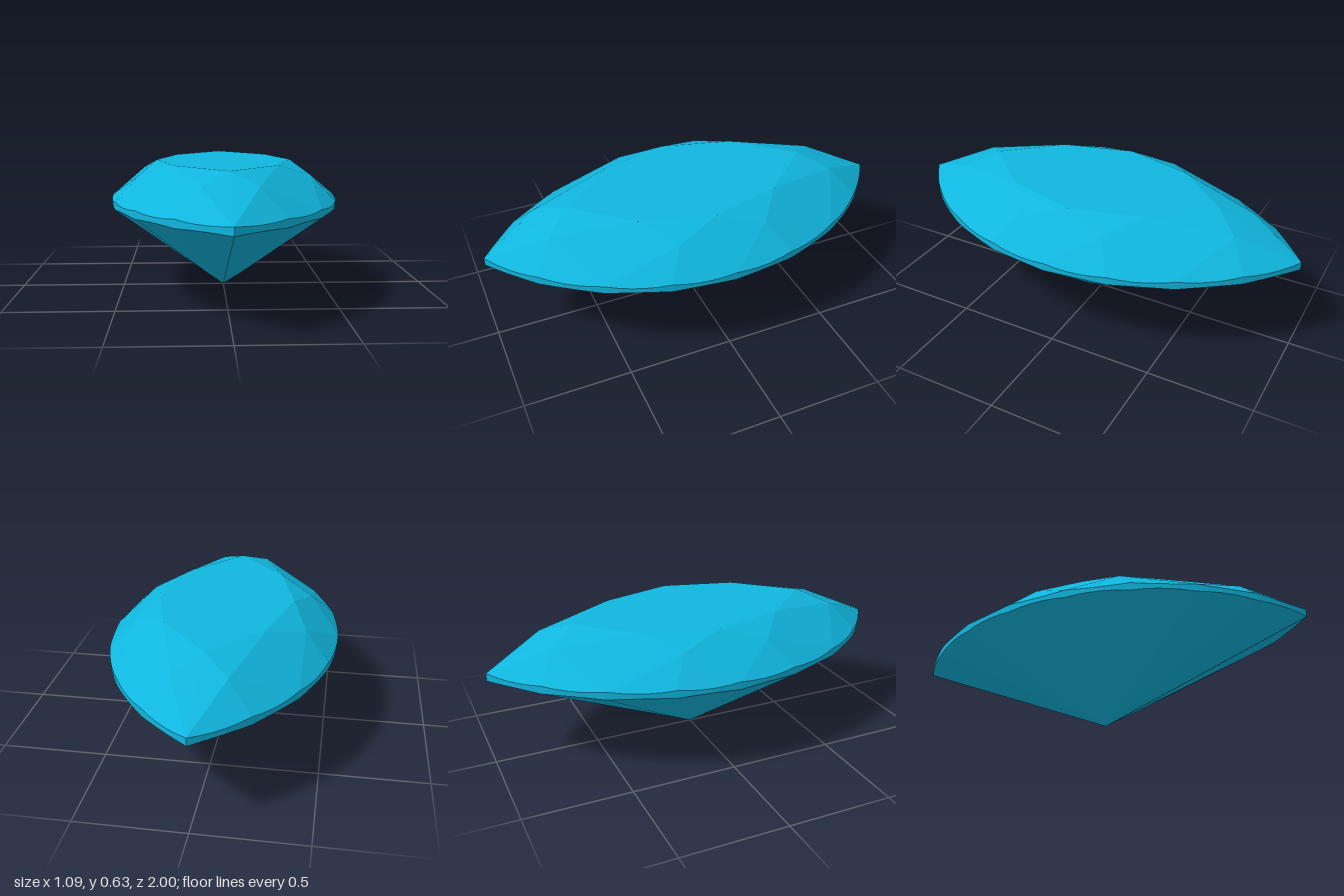
import * as THREE from 'three';

const TABLE_Y = 0.63, KITE_Y = 0.576, UPPER_Y = 0.46, LOWER_Y = 0.422, LOW_Y = 0.0845;
const HALF_WIDTH = 0.545, STEPS = 5;
const RADIUS = (1 + HALF_WIDTH ** 2) / (2 * HALF_WIDTH);
const TIP_ANGLE = Math.asin(1 / RADIUS);

const v = (x, y, z) => new THREE.Vector3(x, y, z);

// Pointed oval made of two arcs; u runs 0..16 anticlockwise from the front tip
function outline(u, y) {
  u = (u + 16) % 16;
  const s = u < 8 ? 1 : -1;
  const a = TIP_ANGLE * (1 - (u % 8) / 4);
  return v(s * (RADIUS * Math.cos(a) - RADIUS + HALF_WIDTH), y, s * RADIUS * Math.sin(a));
}

// Four [x, z] points of one half, turned half round to give a ring of eight
const ring = (half, y) => [1, -1].flatMap(s => half.map(([x, z]) => v(s * x, y, s * z)));

// Points along the outline from u to u + 1, lying in the plane of a facet with this apex
function facetEdge(apex, u, y) {
  const plane = new THREE.Plane().setFromCoplanarPoints(apex, outline(u, y), outline(u + 1, y));
  const n = plane.normal;
  return Array.from({ length: STEPS + 1 }, (_, k) => {
    const p = outline(u + k / STEPS, y);
    p.y = -(n.x * p.x + n.z * p.z + plane.constant) / n.y;
    return p;
  });
}

export function createModel() {
  const gem = new THREE.Group();
  gem.name = 'marquiseGem';
  const material = new THREE.MeshStandardMaterial({ color: 0x10b6de, flatShading: true });

  const addPart = (name, points) => {
    const geometry = new THREE.BufferGeometry().setFromPoints(points);
    geometry.computeVertexNormals();
    const mesh = new THREE.Mesh(geometry, material);
    mesh.name = name;
    gem.add(mesh);
  };

  const tableRing = ring([[0, 0.6], [0.235, 0.34], [0.328, 0], [0.235, -0.34]], TABLE_Y);
  const kiteRing = ring([[0.12, 0.72], [0.4, 0.21], [0.4, -0.21], [0.12, -0.72]], KITE_Y);
  const lowRing = ring([[0, 0.2], [0.085, 0.118], [0.12, 0], [0.085, -0.118]], LOW_Y);
  const culet = v(0, 0, 0), top = v(0, TABLE_Y, 0);
  const table = [], crown = [], girdle = [], pavilion = [];

  for (let i = 0; i < 8; i++) {
    const next = (i + 1) % 8, prev = (i + 7) % 8;
    table.push(top, tableRing[i], tableRing[next]);

    // Star facet and main kite of the crown
    const main = outline(2 * i, UPPER_Y);
    crown.push(tableRing[i], kiteRing[i], tableRing[next]);
    crown.push(tableRing[i], main, kiteRing[i], tableRing[i], kiteRing[prev], main);

    // Main kite of the pavilion
    const mid = outline(2 * i + 1, LOWER_Y);
    pavilion.push(culet, lowRing[next], mid, culet, mid, lowRing[i]);

    // Two half facets above and below, with the scalloped girdle between
    for (const h of [0, 1]) {
      const u = 2 * i + h;
      const low = lowRing[h ? next : i];
      const up = facetEdge(kiteRing[i], u, UPPER_Y);
      const down = facetEdge(low, u, LOWER_Y);
      for (let k = 0; k < STEPS; k++) {
        crown.push(kiteRing[i], up[k], up[k + 1]);
        girdle.push(down[k], down[k + 1], up[k + 1], down[k], up[k + 1], up[k]);
        pavilion.push(low, down[k + 1], down[k]);
      }
    }
  }

  addPart('table', table);
  addPart('crown', crown);
  addPart('girdle', girdle);
  addPart('pavilion', pavilion);
  return gem;
}
